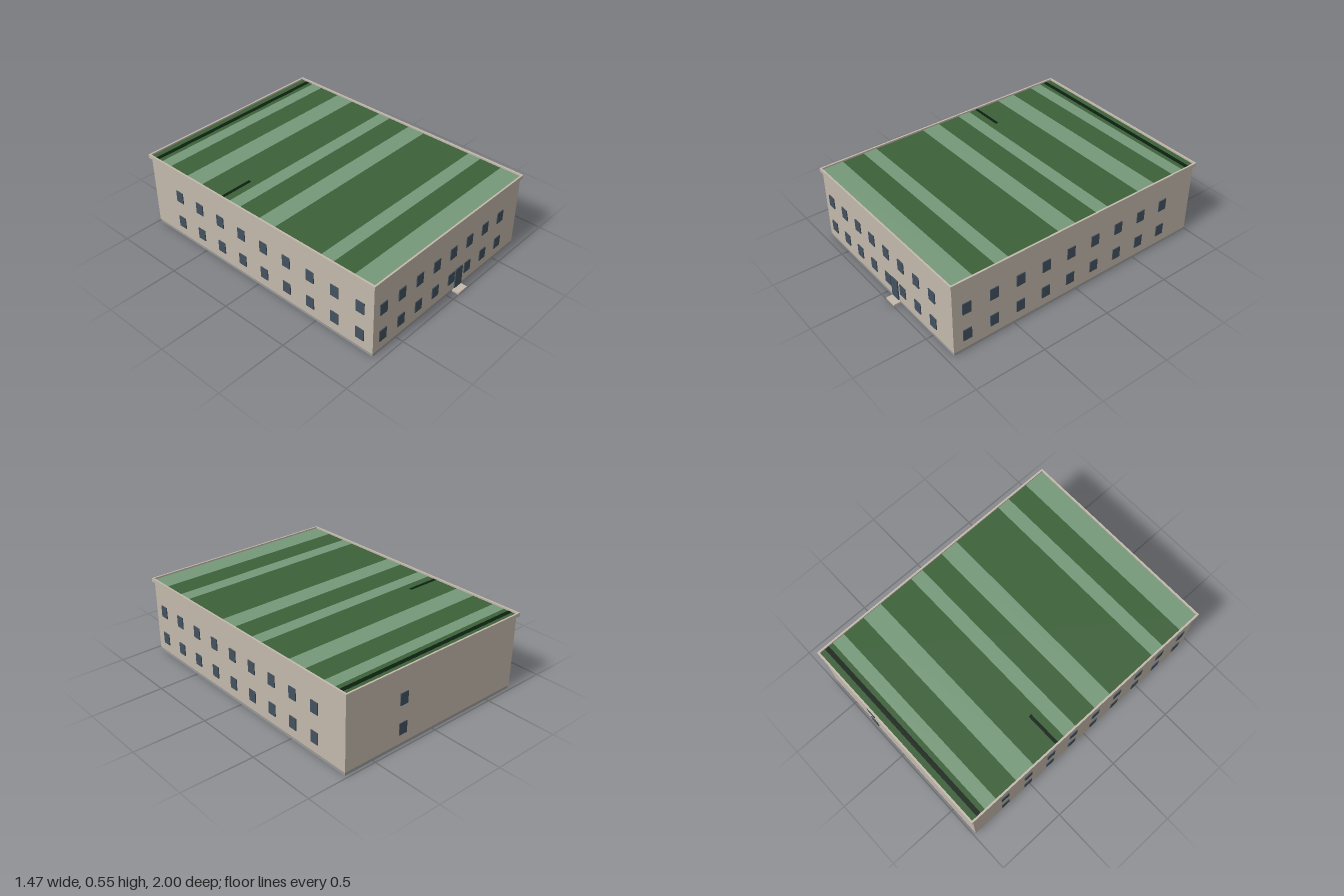
import * as THREE from 'three';

const mat = (name, color) => {
  const m = new THREE.MeshStandardMaterial({ color });
  m.name = name;
  return m;
};

export function createModel() {
  const stone = mat('stone', 0xc4b9ac);
  const plinthGrey = mat('plinth grey', 0x999999);
  const glass = mat('blue glass', 0x43525f);
  const darkGreen = mat('dark green roof', 0x3c6139);
  const lightGreen = mat('light green roof', 0x76997a);
  const blackGreen = mat('black green roof', 0x0c1f10);

  const model = new THREE.Group();
  model.name = 'building';

  // Box given by its limits on each axis
  const box = (name, material, [x0, x1], [y0, y1], [z0, z1], parent = model) => {
    const mesh = new THREE.Mesh(new THREE.BoxGeometry(x1 - x0, y1 - y0, z1 - z0), material);
    mesh.position.set((x0 + x1) / 2, (y0 + y1) / 2, (z0 + z1) / 2);
    mesh.name = name;
    parent.add(mesh);
    return mesh;
  };

  const W = 0.72, front = 0.952, back = -0.984;
  const roofY = 0.541;

  // Plinth, walls and entrance step
  box('plinth', plinthGrey, [-0.716, 0.716], [0, 0.024], [back + 0.004, front - 0.004]);
  box('walls', stone, [-W, W], [0.024, roofY - 0.002], [back, front]);
  box('entranceStep', stone, [0.055, 0.145], [0, 0.013], [front - 0.004, 1]);

  // Cornice: a rectangular ring standing slightly above the roof
  const ring = new THREE.Shape();
  const rect = (path, x, z0, z1) =>
    path.moveTo(-x, -z1).lineTo(x, -z1).lineTo(x, -z0).lineTo(-x, -z0).closePath();
  rect(ring, 0.733, -1, 0.964);
  const hole = new THREE.Path();
  rect(hole, W, back - 0.003, front);
  ring.holes.push(hole);
  const cornice = new THREE.Mesh(
    new THREE.ExtrudeGeometry(ring, { depth: 0.026, bevelEnabled: false }), stone);
  cornice.rotation.x = -Math.PI / 2;
  cornice.position.y = 0.527;
  cornice.name = 'cornice';
  model.add(cornice);

  // Roof surface with coloured bands across the width
  const roof = new THREE.Group();
  roof.name = 'roof';
  model.add(roof);
  box('roofDeck', darkGreen, [-W, W], [roofY - 0.004, roofY], [back - 0.003, front], roof);
  const lightBands = [
    [-0.884, -0.794], [-0.63, -0.487], [-0.228, -0.132],
    [0.037, 0.169], [0.545, 0.642], [0.8, front],
  ];
  for (const z of lightBands)
    box('lightBand', lightGreen, [-W, W], [roofY, roofY + 0.001], z, roof);
  box('darkBand', blackGreen, [-W, W], [roofY, roofY + 0.001], [-0.948, -0.917], roof);
  box('darkPatch', blackGreen, [-W, -0.48], [roofY, roofY + 0.001], [-0.302, -0.28], roof);

  // Windows on two floors, proud of the walls
  const windows = new THREE.Group();
  windows.name = 'windows';
  model.add(windows);
  const w = 0.031, t = 0.006;
  for (const y of [[0.088, 0.17], [0.292, 0.374]]) {
    for (let i = 0; i < 8; i++) {
      const x = -0.636 + i * 0.1652;
      box('frontWindow', glass, [x - w, x + w], y, [front - 0.002, front + t], windows);
    }
    for (let i = 0; i < 9; i++) {
      const z = 0.853 - i * 0.1968;
      box('rightWindow', glass, [-W - t, -W + 0.002], y, [z - w, z + w], windows);
      box('leftWindow', glass, [W - 0.002, W + t], y, [z - w, z + w], windows);
    }
    box('backWindow', glass, [0.268 - w, 0.268 + w], y, [back - t, back + 0.002], windows);
  }

  // Entrance door
  box('door', glass, [0.066, 0.136], [0.025, 0.174], [front - 0.001, front + 0.008]);

  return model;
}
